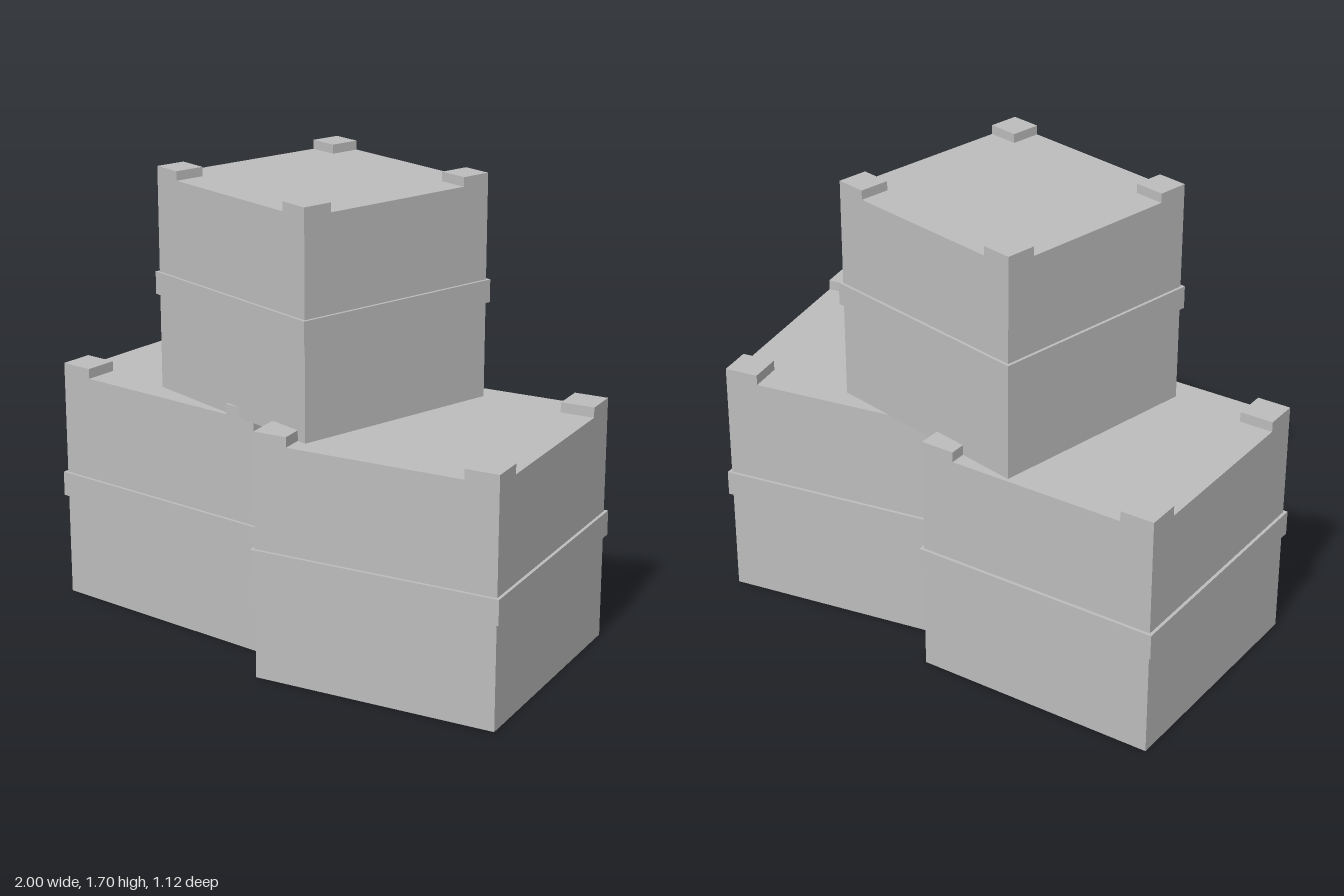
import * as THREE from 'three';

const grey = new THREE.MeshStandardMaterial({ color: 0xbcbcbc });
grey.name = 'plain grey';

function box(name, w, h, d, x, y, z) {
  const mesh = new THREE.Mesh(new THREE.BoxGeometry(w, h, d), grey);
  mesh.name = name;
  mesh.position.set(x, y, z);
  return mesh;
}

// One crate: body, raised band around the middle, and four corner studs
function crate(name, side, x, y, z, degrees) {
  const group = new THREE.Group();
  group.name = name;
  const height = side * 0.951;
  const band = side * 1.026;
  const stud = side * 0.138;
  const studHeight = side * 0.041;
  group.add(box('body', side, height, side, 0, height / 2, 0));
  group.add(box('band', band, side * 0.101, band, 0, height / 2, 0));
  const offset = (side - stud) / 2;
  for (const sx of [-1, 1]) {
    for (const sz of [-1, 1]) {
      group.add(box('cornerStud', stud, studHeight, stud,
        sx * offset, height + studHeight / 2, sz * offset));
    }
  }
  group.position.set(x, y, z);
  group.rotation.y = THREE.MathUtils.degToRad(degrees);
  return group;
}

export function createModel() {
  const model = new THREE.Group();
  model.name = 'crateStack';
  // Two large crates side by side, a smaller one on top
  model.add(crate('rightCrate', 0.921, -0.527, 0, -0.087, 0));
  model.add(crate('leftCrate', 0.921, 0.452, 0, 0.011, 10));
  model.add(crate('topCrate', 0.829, -0.091, 0.876, -0.042, -12));
  return model;
}
